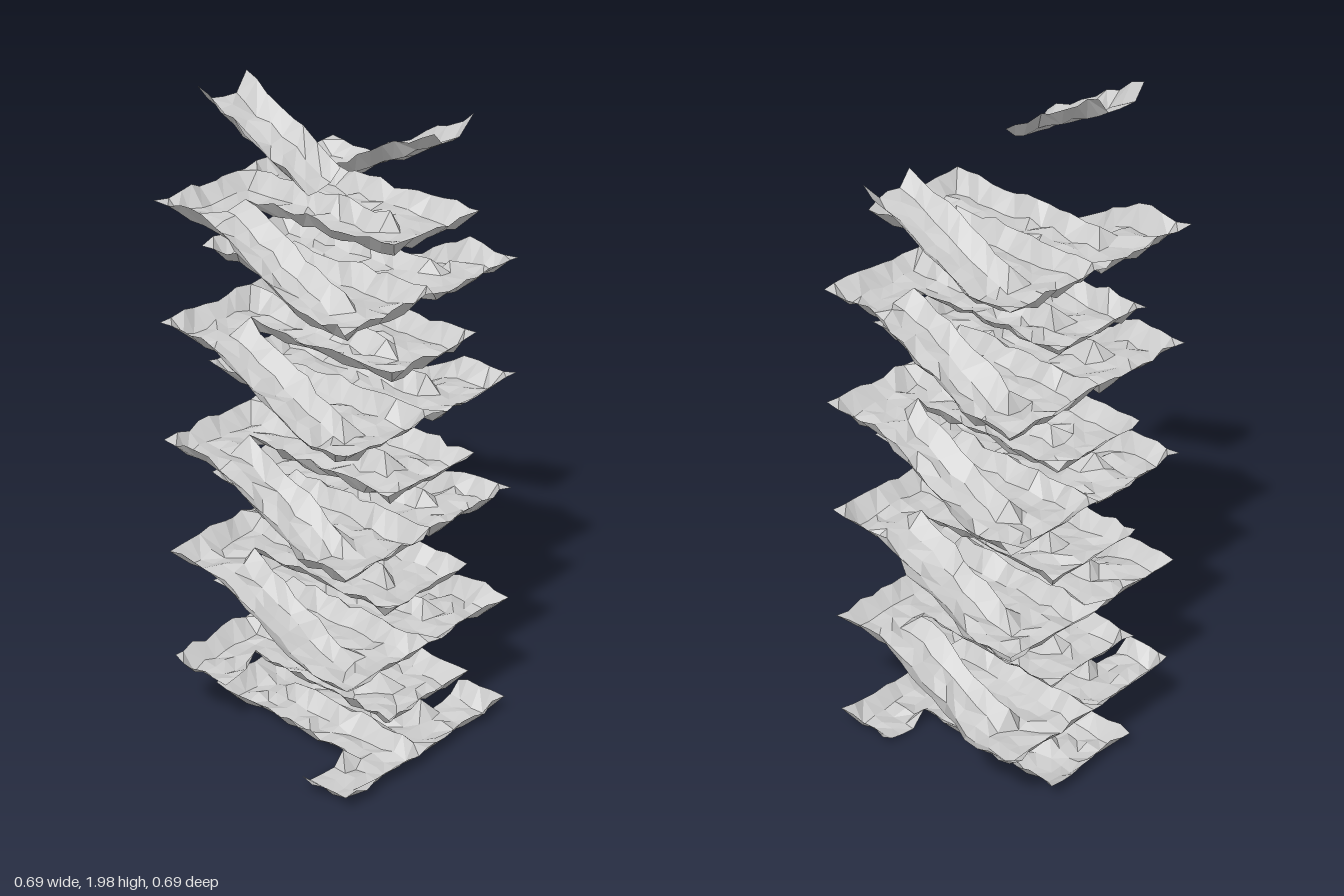
import * as THREE from 'three';

const CELL = 0.17, SUB = 4, STEP = CELL / SUB; // 4 x 4 cells per storey, each 4 x 4 quads
const RISE = 0.1755, FLOOR = 0.019, RIM = 0.065, ROUGH = 0.01;

const material = new THREE.MeshStandardMaterial({
  color: 0xcccccc, flatShading: true, side: THREE.DoubleSide,
});

// Repeatable noise in -1..1, keyed by position so neighbouring cells share their rough edges
function noise(a, b, c, seed) {
  let h = (a * 374761393 + b * 668265263 + c * 974711 + seed * 1442695041) | 0;
  h = Math.imul(h ^ (h >>> 13), 1274126177);
  h = Math.imul(h ^ (h >>> 15), 2246822519);
  return ((h ^ (h >>> 16)) >>> 0) / 2147483648 - 1;
}

// Winding route of one storey: lead-in cell, 10 flat cells, 2 ramp cells, lead-out cell
const ROUTE = [
  [1, 3],
  [0, 3], [0, 2], [1, 2], [2, 2], [3, 2], [3, 1], [2, 1], [1, 1], [0, 1], [0, 0],
  [1, 0], [2, 0],
  [3, 0],
];
const FLAT = [1, 10], RAMP = [11, 12];

// Open channel along the route cells first..last; every second storey is turned half round
function channel(name, storey, [first, last]) {
  const turned = storey % 2 === 0;
  const route = turned ? ROUTE.map(([i, j]) => [3 - i, 3 - j]) : ROUTE;
  const positions = [];

  for (let n = first; n <= last; n++) {
    const [i, j] = route[n];
    // A side is open only towards the previous and next cell
    const open = (di, dj) => [route[n - 1], route[n + 1]]
      .some(([a, b]) => a === i + di && b === j + dj);

    const vertex = (a, b) => {
      const corner = a % SUB === 0 && b % SUB === 0;
      const onWall = corner
        || (a === 0 && !open(-1, 0)) || (a === SUB && !open(1, 0))
        || (b === 0 && !open(0, -1)) || (b === SUB && !open(0, 1));
      const gx = i * SUB + a, gz = j * SUB + b;
      let y = storey * RISE + (onWall ? RIM : FLOOR);
      if (n >= RAMP[0]) {
        const along = (gx - SUB) / (2 * SUB);
        y += RISE * (turned ? 1 - along : along);
      }
      const key = Math.round(y * 1000);
      return [
        (gx - 2 * SUB) * STEP + noise(gx, gz, key, 1) * ROUGH * 0.7,
        y + noise(gx, gz, key, 2) * ROUGH,
        (gz - 2 * SUB) * STEP + noise(gx, gz, key, 3) * ROUGH * 0.7,
      ];
    };

    for (let a = 0; a < SUB; a++) {
      for (let b = 0; b < SUB; b++) {
        const p = vertex(a, b), q = vertex(a, b + 1);
        const r = vertex(a + 1, b + 1), s = vertex(a + 1, b);
        const flip = noise(i * SUB + a, j * SUB + b, storey, 4) > 0;
        positions.push(...(flip ? [p, q, r, p, r, s] : [p, q, s, q, r, s]).flat());
      }
    }
  }

  const geometry = new THREE.BufferGeometry();
  geometry.setAttribute('position', new THREE.Float32BufferAttribute(positions, 3));
  geometry.computeVertexNormals();
  const mesh = new THREE.Mesh(geometry, material);
  mesh.name = name;
  return mesh;
}

export function createModel() {
  const group = new THREE.Group();
  group.name = 'windingChannelTower';
  // Flat winding storeys
  for (let s = 0; s <= 9; s++) group.add(channel(`windingChannel${s}`, s, FLAT));
  // Ramps, alternating between back and front
  for (let s = 1; s <= 10; s++) {
    group.add(channel(`${s % 2 ? 'back' : 'front'}Ramp${s}`, s, RAMP));
  }
  return group;
}
